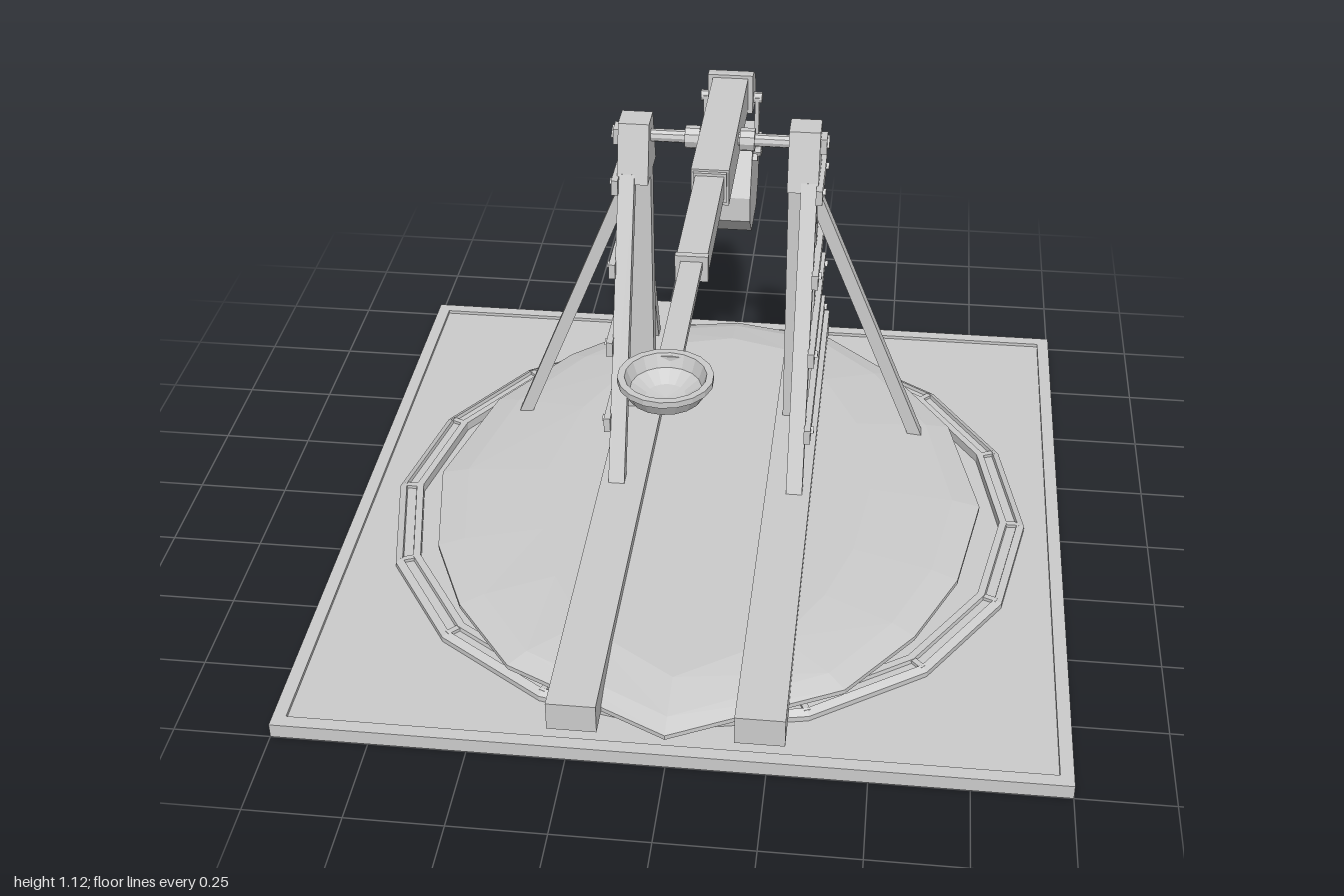
import * as THREE from 'three';

export function createModel() {
  const root = new THREE.Group();
  const mat = new THREE.MeshStandardMaterial({ color: 0xcccccc, flatShading: true });
  const open = new THREE.MeshStandardMaterial({ color: 0xcccccc, flatShading: true, side: THREE.DoubleSide });
  const V = (x, y, z) => new THREE.Vector3(x, y, z);

  const add = (name, geo, x = 0, y = 0, z = 0, m = mat) => {
    const mesh = new THREE.Mesh(geo, m);
    mesh.name = name;
    mesh.position.set(x, y, z);
    root.add(mesh);
    return mesh;
  };
  // Box given by its min and max on each axis
  const box = (name, x0, x1, y0, y1, z0, z1) =>
    add(name, new THREE.BoxGeometry(x1 - x0, y1 - y0, z1 - z0), (x0 + x1) / 2, (y0 + y1) / 2, (z0 + z1) / 2);
  // Square timber between two points
  const beam = (name, a, b, w, d) => {
    const dir = b.clone().sub(a);
    const mid = a.clone().add(b).multiplyScalar(0.5);
    const mesh = add(name, new THREE.BoxGeometry(w, dir.length(), d), mid.x, mid.y, mid.z);
    mesh.quaternion.setFromUnitVectors(V(0, 1, 0), dir.normalize());
    return mesh;
  };
  // Round bar along x
  const rod = (name, r, x0, x1, y, z, sides = 10) => {
    const g = new THREE.CylinderGeometry(r, r, x1 - x0, sides).rotateZ(Math.PI / 2);
    return add(name, g, (x0 + x1) / 2, y, z);
  };
  // Outline in the z-y plane, extruded along x from x0 to x1
  const sidePlate = (name, pts, x0, x1) => {
    const shape = new THREE.Shape(pts.map(([z, y]) => new THREE.Vector2(-z, y)));
    const g = new THREE.ExtrudeGeometry(shape, { depth: x1 - x0, bevelEnabled: false });
    return add(name, g.rotateY(Math.PI / 2), x0, 0, 0);
  };

  // Ground slab with raised rim
  box('groundSlab', -1, 1, 0, 0.03, -1, 1);
  for (const s of [-1, 1]) {
    const a = s < 0 ? -1 : 0.965, b = s < 0 ? -0.965 : 1;
    box('slabRimSide', a, b, 0.03, 0.04, -1, 1);
    box('slabRimEnd', -0.965, 0.965, 0.03, 0.04, a, b);
  }

  // Sixteen-sided track ring with sunken panels
  const ringProfile = [[0.9, 0.03], [0.9, 0.045], [0.88, 0.056], [0.878, 0.045], [0.852, 0.045], [0.85, 0.056], [0.83, 0.056], [0.83, 0.03]];
  add('trackRing', new THREE.LatheGeometry(ringProfile.map(p => new THREE.Vector2(...p)), 16), 0, 0, 0, open);
  for (let i = 0; i < 16; i++) {
    const a = (i * Math.PI) / 8;
    const d = add('ringDivider', new THREE.BoxGeometry(0.016, 0.02, 0.04), 0.865 * Math.sin(a), 0.044, 0.865 * Math.cos(a));
    d.rotation.y = a;
  }

  // Faceted mound platform: one outline repeated at several heights
  const half = [[0, -0.89], [0.3, -0.83], [0.5, -0.65], [0.68, -0.38], [0.77, 0], [0.71, 0.33], [0.6, 0.57], [0.43, 0.79], [0, 1]];
  const outline = [...half, ...half.slice(1, -1).reverse().map(([x, z]) => [-x, z])];
  const levels = [[0.86, 0.86, 0.03], [0.86, 0.86, 0.066], [1, 1, 0.092], [1, 1, 0.105], [0.9, 0.95, 0.122], [0.6, 0.83, 0.143]];
  const n = outline.length, pos = [], idx = [];
  for (const [sx, sz, y] of levels) for (const [x, z] of outline) pos.push(x * sx, y, z * sz);
  pos.push(0, 0.145, 0);
  for (let l = 0; l < levels.length; l++) {
    for (let i = 0; i < n; i++) {
      const j = (i + 1) % n, a = l * n + i, b = l * n + j;
      if (l < levels.length - 1) idx.push(a, a + n, b + n, a, b + n, b);
      else idx.push(levels.length * n, b, a);
    }
  }
  const mound = new THREE.BufferGeometry();
  mound.setAttribute('position', new THREE.Float32BufferAttribute(pos, 3));
  mound.setIndex(idx);
  mound.computeVertexNormals();
  add('moundPlatform', mound);

  // Two mirrored support frames
  const Z = -0.32;
  for (const s of [-1, 1]) {
    const sbox = (name, a, b, ...rest) => box(name, Math.min(s * a, s * b), Math.max(s * a, s * b), ...rest);
    sbox('groundBeam', 0.17, 0.295, 0.09, 0.172, -0.89, 0.99);
    sbox('post', 0.19, 0.272, 0.12, 1.0, Z - 0.026, Z + 0.026);
    const xs = [s * 0.19, s * 0.275].sort((a, b) => a - b);
    sidePlate('postHead', [[Z - 0.085, 0.95], [Z - 0.04, 1.112], [Z + 0.04, 1.112], [Z + 0.085, 0.95]], ...xs);
    sbox('axleCap', 0.27, 0.292, 1.04, 1.085, Z - 0.025, Z + 0.025);
    // Spread legs and the outward strut
    for (const d of [-1, 1])
      beam('spreadLeg', V(s * 0.25, 0.16, Z + d * 0.39), V(s * 0.25, 0.97, Z + d * 0.06), 0.045, 0.04);
    beam('sideStrut', V(s * 0.585, 0.11, Z), V(s * 0.265, 0.9, Z), 0.036, 0.036);
    // Rungs with bolts
    for (const [y, w] of [[0.95, 0.11], [0.735, 0.195], [0.535, 0.28], [0.335, 0.36]]) {
      sbox('rung', 0.27, 0.288, y - 0.022, y + 0.022, Z - w, Z + w);
      for (const d of [-1, 1])
        rod('rungBolt', 0.012, s * 0.29 - 0.006, s * 0.29 + 0.006, y, Z + d * (w - 0.035), 3);
    }
    rod('headBolt', 0.024, s * 0.294 - 0.004, s * 0.294 + 0.004, 1.06, Z, 3);
    rod('axleCollar', 0.032, s * 0.075 - 0.02, s * 0.075 + 0.02, 1.062, Z);
  }
  rod('axle', 0.018, -0.2, 0.2, 1.062, Z);

  // Throwing arm in three tapering stages
  box('armButt', -0.05, 0.05, 1.005, 1.108, -0.62, -0.05);
  box('armCollar', -0.044, 0.044, 1.018, 1.102, -0.05, -0.04);
  box('armMiddle', -0.038, 0.038, 1.032, 1.094, -0.06, 0.37);
  box('armMiddleEnd', -0.041, 0.041, 1.028, 1.098, 0.36, 0.378);
  box('armTip', -0.027, 0.027, 1.063, 1.083, 0.37, 0.8);

  // Bowl at the tip
  const bowl = [[0, 1.015], [0.05, 1.02], [0.085, 1.042], [0.1, 1.07], [0.108, 1.075], [0.108, 1.09], [0.092, 1.09], [0.08, 1.058], [0.045, 1.036], [0, 1.03]];
  add('bowl', new THREE.LatheGeometry(bowl.map(p => new THREE.Vector2(...p)), 18), 0, 0, 0.885, open);

  // Rounded iron head on the short end
  const head = [[-0.6, 1.0], [-0.6, 1.117]];
  for (let i = 0; i <= 6; i++) {
    const a = (i / 6) * Math.PI / 2;
    head.push([-0.615 - 0.1 * Math.sin(a), 0.99 + 0.127 * Math.cos(a)]);
  }
  sidePlate('armHead', head, -0.064, 0.064);
  rod('headPin', 0.016, -0.088, 0.088, 1.03, -0.645);

  // Hanger straps and counterweight
  for (const s of [-1, 1]) {
    for (const d of [-1, 1])
      box('hangerStrap', s * 0.074 - 0.006, s * 0.074 + 0.006, 0.85, 1.035, -0.645 + d * 0.013 - 0.005, -0.645 + d * 0.013 + 0.005);
    for (const z of [-0.58, -0.72])
      rod('weightBolt', 0.013, s * 0.074 - 0.008, s * 0.074 + 0.008, 0.868, z, 3);
    rod('hangerNut', 0.022, s * 0.08 - 0.008, s * 0.08 + 0.008, 0.865, -0.645, 8);
  }
  rod('hangerBar', 0.014, -0.09, 0.09, 0.865, -0.645);
  sidePlate('counterweight', [[-0.573, 0.91], [-0.735, 0.91], [-0.803, 0.775], [-0.803, 0.7], [-0.735, 0.632], [-0.573, 0.632], [-0.505, 0.7], [-0.505, 0.775]], -0.068, 0.068);

  return root;
}
